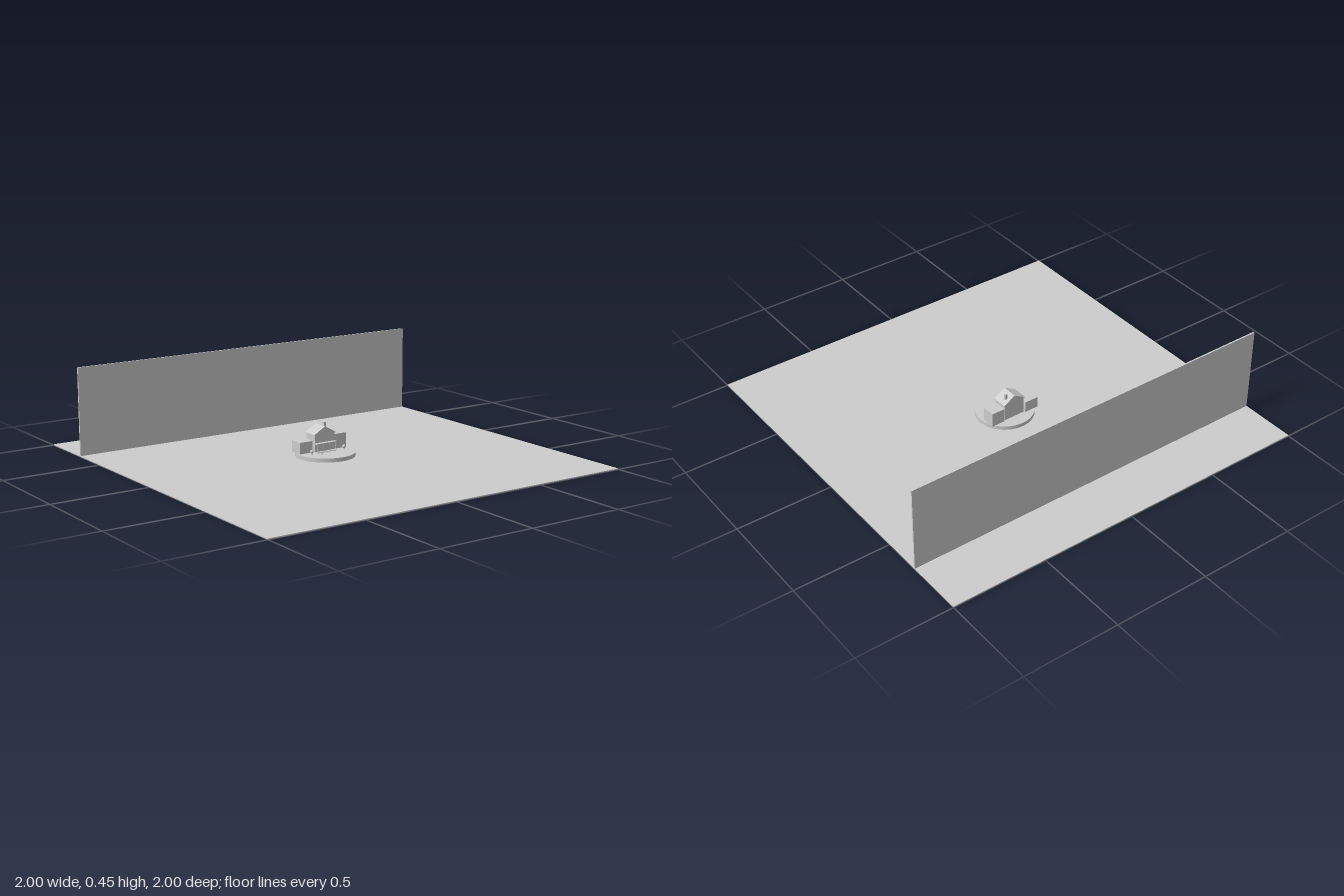
import * as THREE from 'three';

const stone = new THREE.MeshStandardMaterial({ color: 0xcccccc });
stone.name = 'plain grey';

export function createModel() {
  const model = new THREE.Group();
  const add = (name, geometry, x = 0, y = 0, z = 0, parent = model) => {
    const mesh = new THREE.Mesh(geometry, stone);
    mesh.name = name;
    mesh.position.set(x, y, z);
    parent.add(mesh);
    return mesh;
  };
  // Box given by its limits on each axis
  const box = (name, x0, x1, y0, y1, z0, z1, parent = model) =>
    add(name, new THREE.BoxGeometry(x1 - x0, y1 - y0, z1 - z0),
      (x0 + x1) / 2, (y0 + y1) / 2, (z0 + z1) / 2, parent);

  // Ground, backdrop and round plinth
  box('ground', -1, 1, 0, 0.005, -1, 1);
  box('backWall', -1, 1, 0.005, 0.45, -0.704, -0.696);
  add('plinth', new THREE.CylinderGeometry(0.15, 0.15, 0.02, 48), 0, 0.015, -0.02);

  const house = new THREE.Group();
  house.name = 'house';
  model.add(house);
  const floor = 0.025;

  // Gabled main block, ridge running front to back
  const gable = new THREE.Shape([[-0.058, floor], [0.058, floor], [0.058, 0.113], [0, 0.146], [-0.058, 0.113]]
    .map(([x, y]) => new THREE.Vector2(x, y)));
  add('mainBlock', new THREE.ExtrudeGeometry(gable, { depth: 0.076, bevelEnabled: false }), 0, 0, -0.1, house);
  const roof = new THREE.Shape([[-0.064, 0.111], [-0.064, 0.115], [0, 0.151], [0.064, 0.115], [0.064, 0.111], [0, 0.146]]
    .map(([x, y]) => new THREE.Vector2(x, y)));
  add('roof', new THREE.ExtrudeGeometry(roof, { depth: 0.082, bevelEnabled: false }), 0, 0, -0.103, house);
  box('chimney', 0.028, 0.04, 0.12, 0.16, -0.082, -0.07, house);

  // Flat-topped side wings
  box('rightWing', -0.14, -0.064, floor, 0.083, -0.106, -0.036, house);
  box('leftWing', 0.064, 0.138, floor, 0.1, -0.106, -0.036, house);

  // Porch with posts, and the door behind it
  box('porchRoof', -0.06, 0.06, 0.066, 0.072, -0.024, -0.003, house);
  box('porchFloor', -0.058, 0.058, floor, 0.028, -0.024, -0.004, house);
  for (const x of [-0.053, -0.018, 0.018, 0.053]) {
    add('porchPost', new THREE.CylinderGeometry(0.0015, 0.0015, 0.039, 8), x, 0.0475, -0.008, house);
  }
  box('door', -0.011, 0.011, 0.028, 0.062, -0.025, -0.022, house);

  // Small trees either side of the yard
  for (const x of [-0.096, 0.097]) {
    add('treeTrunk', new THREE.CylinderGeometry(0.002, 0.002, 0.01, 8), x, 0.03, 0.003);
    add('treeCrown', new THREE.SphereGeometry(0.009, 12, 8), x, 0.041, 0.003);
  }
  // Little yard figure
  add('yardFigure', new THREE.CylinderGeometry(0.003, 0.004, 0.01, 10), -0.058, 0.03, 0.035);
  return model;
}
